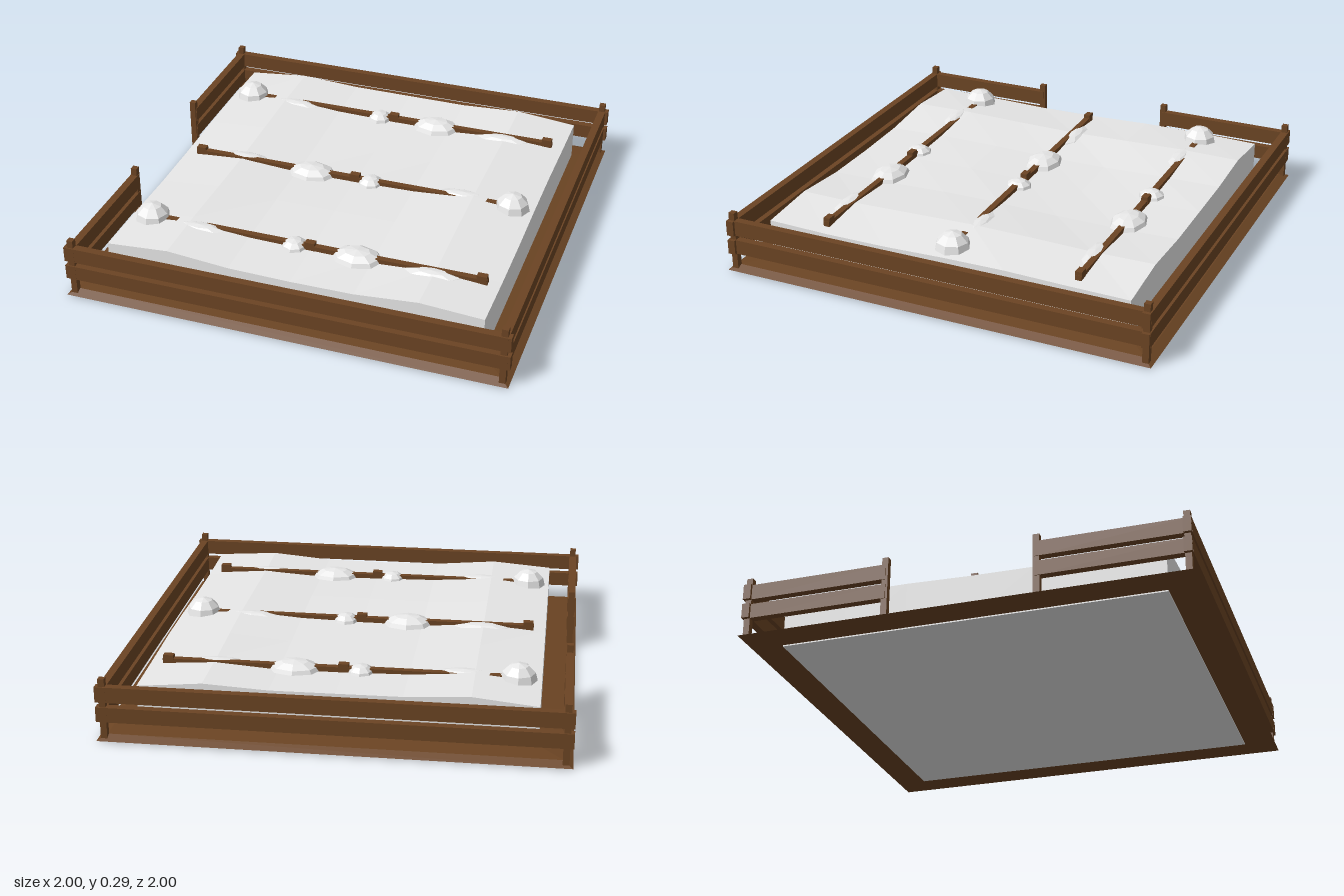
import * as THREE from 'three';

export function createModel() {
  const group = new THREE.Group();
  const wood = new THREE.MeshStandardMaterial({ color: 0x6b4423, flatShading: true });
  wood.name = 'brown wood';
  const snow = new THREE.MeshStandardMaterial({ color: 0xe8e8e8, flatShading: true });
  snow.name = 'snow white';

  const add = (name, geometry, material, x = 0, y = 0, z = 0, parent = group) => {
    const mesh = new THREE.Mesh(geometry, material);
    mesh.name = name;
    mesh.position.set(x, y, z);
    parent.add(mesh);
    return mesh;
  };
  // Box given by its bottom and top heights
  const box = (name, x, z, w, d, y0, y1, parent) =>
    add(name, new THREE.BoxGeometry(w, y1 - y0, d), wood, x, (y0 + y1) / 2, z, parent);

  // Low square ground border with sloping outer edge
  const r = Math.SQRT2;
  const profile = [[0.85, 0.006], [1, 0.006], [0.96, 0.025], [0.85, 0.034], [0.85, 0.006]]
    .map(([x, y]) => new THREE.Vector2(x * r, y));
  add('groundBorder', new THREE.LatheGeometry(profile, 4).rotateY(Math.PI / 4), wood);

  // Snow block with a gently uneven top
  const block = new THREE.BoxGeometry(1.71, 0.2, 1.71, 6, 1, 6);
  block.translate(0, 0.1, 0);
  const columns = [0.212, 0.236, 0.216, 0.214, 0.216, 0.236, 0.212];
  const p = block.attributes.position;
  for (let i = 0; i < p.count; i++) {
    if (p.getY(i) < 0.1) continue;
    const col = Math.round((p.getX(i) + 0.855) / 0.285);
    p.setY(i, columns[col] + 0.006 * Math.sin(p.getZ(i) * 5 + p.getX(i) * 3));
  }
  add('snowField', block, snow);

  // Perimeter fence: two boards per side, open in the middle of the -x side
  const fence = new THREE.Group();
  fence.name = 'perimeterFence';
  group.add(fence);
  for (const [y0, y1] of [[0.09, 0.157], [0.18, 0.25]]) {
    for (const s of [-1, 1]) {
      box('longBoard', 0, s * 0.972, 2, 0.035, y0, y1, fence);
      box('gateSideBoard', -0.97, s * 0.66, 0.035, 0.66, y0, y1, fence);
    }
    box('sideBoard', 0.97, 0, 0.035, 1.98, y0, y1, fence);
  }
  for (const s of [-1, 1]) {
    for (const x of [-0.97, 0.97]) box('cornerPost', x, s * 0.97, 0.028, 0.028, 0.01, 0.285, fence);
    box('gatePost', -0.97, s * 0.335, 0.028, 0.028, 0.01, 0.285, fence);
  }

  // Half-buried rails with snow heaps, the middle row turned the other way
  const heaps = [ // name, x, z offset, y, radii
    ['roundHeap', -0.755, 0, 0.21, 0.083, 0.085, 0.083],
    ['flatDrift', -0.52, 0.02, 0.215, 0.14, 0.03, 0.05],
    ['smallHeap', -0.075, 0, 0.205, 0.062, 0.045, 0.065],
    ['longHeap', 0.215, 0, 0.205, 0.12, 0.052, 0.085],
    ['flatDrift', 0.56, 0.02, 0.21, 0.14, 0.03, 0.05],
  ];
  for (const [z, s] of [[-0.6, 1], [0, -1], [0.6, 1]]) {
    const row = new THREE.Group();
    row.name = 'buriedRailRow';
    row.position.z = z;
    group.add(row);
    box('buriedRail', s * 0.025, 0, 1.55, 0.028, 0.2, 0.236, row);
    for (const x of [0, 0.775]) box('railPost', s * x, 0, 0.045, 0.03, 0.01, 0.252, row);
    for (const [name, x, dz, y, rx, ry, rz] of heaps) {
      add(name, new THREE.SphereGeometry(1, 8, 6), snow, s * x, y, s * dz, row).scale.set(rx, ry, rz);
    }
  }
  return group;
}
